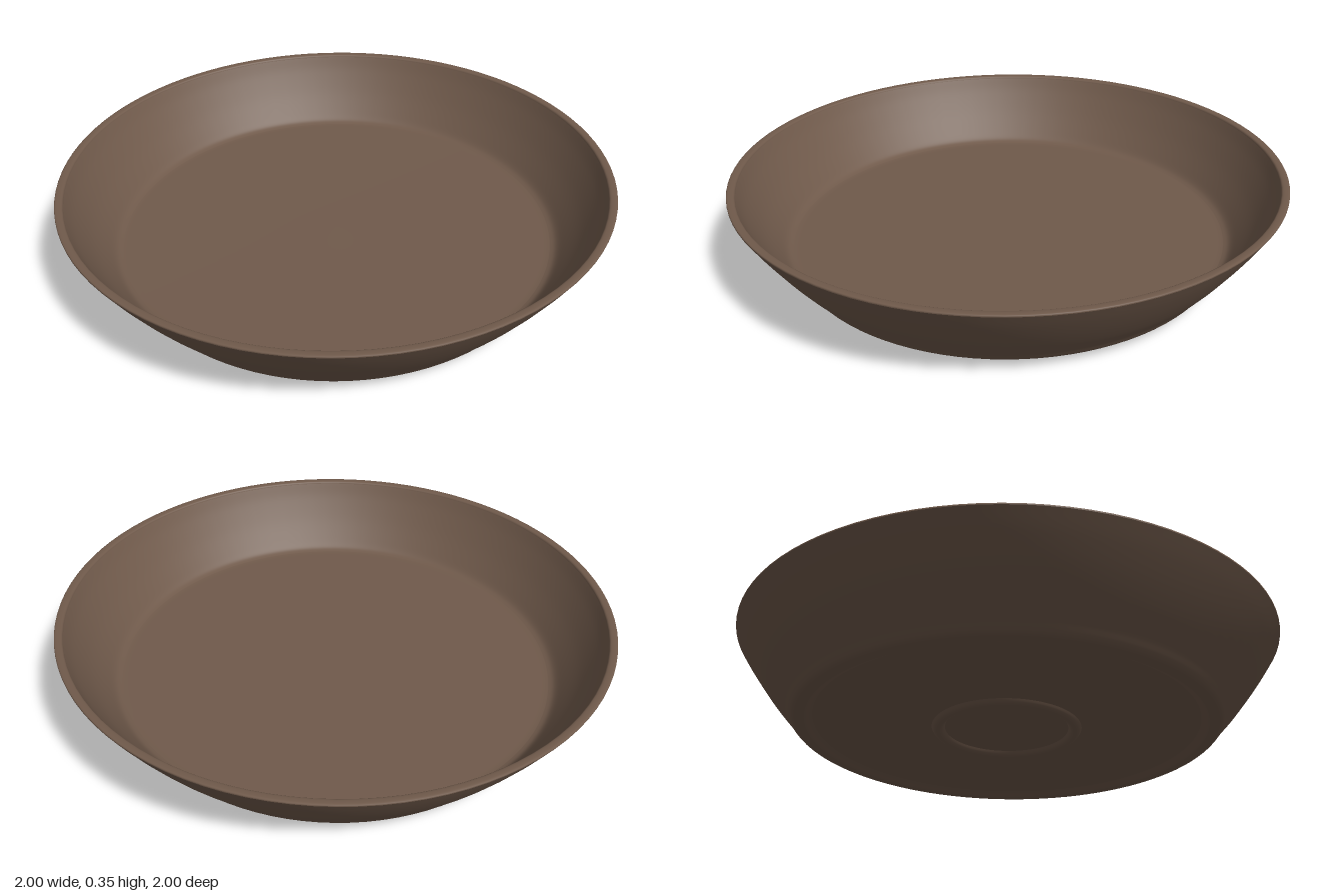
import * as THREE from 'three';

// Smooth open curve through a few profile points
const smooth = (pts, n) =>
  new THREE.SplineCurve(pts.map(([r, y]) => new THREE.Vector2(r, y))).getPoints(n);

const lathe = (points, material, name) => {
  const mesh = new THREE.Mesh(new THREE.LatheGeometry(points, 96), material);
  mesh.name = name;
  return mesh;
};

export function createModel() {
  const clay = new THREE.MeshStandardMaterial({ color: 0x705a4b });
  clay.name = 'brown clay';

  const model = new THREE.Group();
  model.name = 'dish';
  const dish = new THREE.Group();
  dish.name = 'tiltedDish';
  model.add(dish);

  // Recessed underside, curling down into the foot rim
  const underside = [
    new THREE.Vector2(0, 0.035), new THREE.Vector2(0.68, 0.035),
    ...smooth([[0.7, 0.034], [0.715, 0.025], [0.73, 0.016], [0.745, 0.014]], 10),
  ];
  dish.add(lathe(underside, clay, 'underside'));

  // Outer wall, rising from the foot in a gentle curve
  const outer = smooth(
    [[0.745, 0.014], [0.775, 0.023], [0.805, 0.06], [0.855, 0.118], [0.91, 0.19], [0.96, 0.262], [0.998, 0.322]], 32);
  dish.add(lathe(outer, clay, 'outerWall'));

  // Thin rounded rim
  const rim = smooth([[0.998, 0.322], [0.997, 0.328], [0.985, 0.329], [0.972, 0.327], [0.968, 0.32]], 10);
  dish.add(lathe(rim, clay, 'rim'));

  // Inner wall blending into the flat floor
  const inner = [
    ...smooth([[0.968, 0.32], [0.94, 0.266], [0.89, 0.187], [0.84, 0.121], [0.812, 0.09], [0.79, 0.08]], 28),
    new THREE.Vector2(0.77, 0.078), new THREE.Vector2(0, 0.078),
  ];
  dish.add(lathe(inner, clay, 'innerBowl'));

  // Small raised ring under the centre
  const ring = smooth([[0.225, 0.036], [0.235, 0.022], [0.25, 0.016], [0.265, 0.022], [0.275, 0.036]], 16);
  dish.add(lathe(ring, clay, 'footRing'));

  // The dish rests slightly tipped, higher on its left
  dish.rotation.z = 0.0175;
  dish.position.x = 0.005;
  return model;
}
